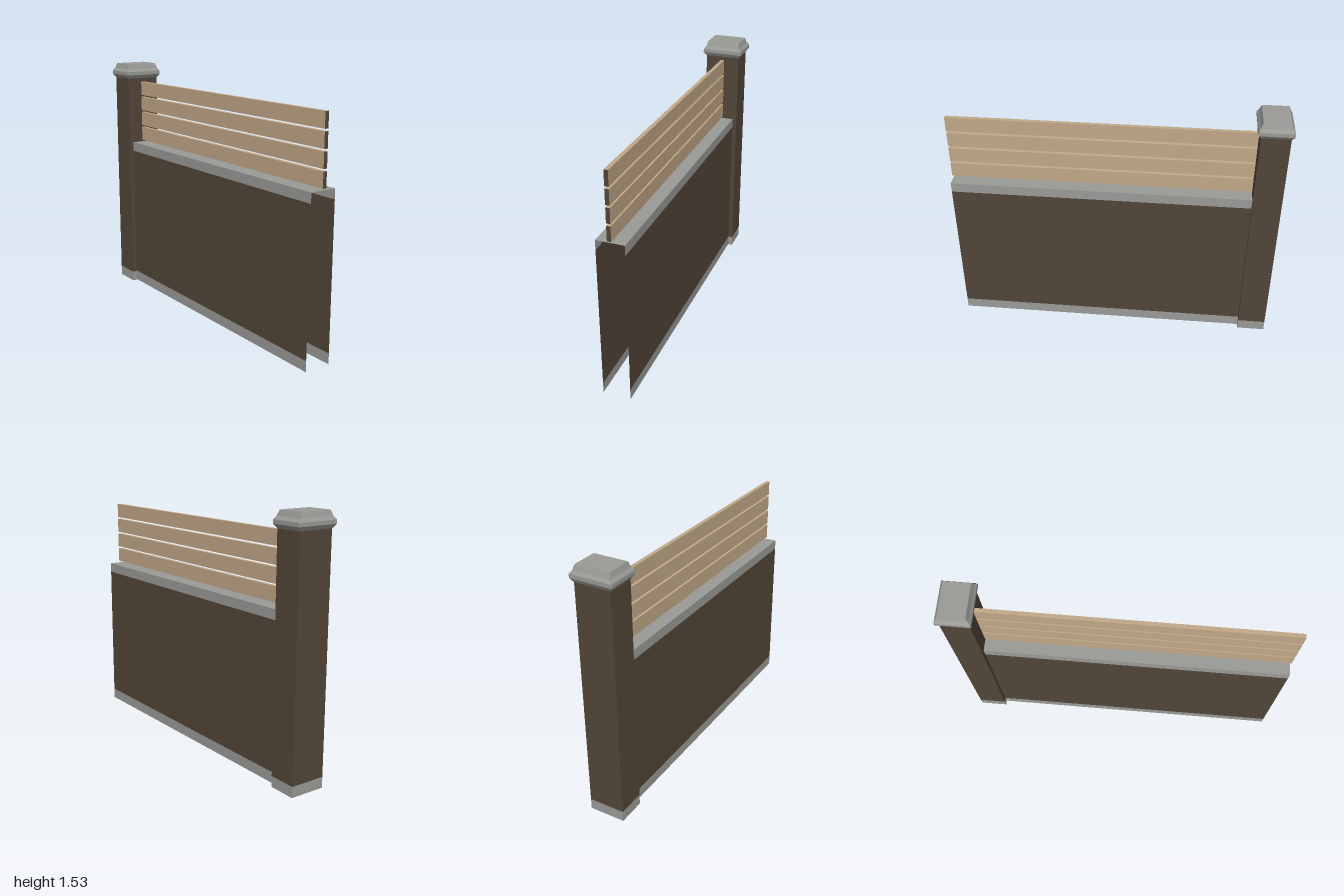
import * as THREE from 'three';

const material = (name, color, side = THREE.FrontSide) => {
  const m = new THREE.MeshStandardMaterial({ color, side });
  m.name = name;
  return m;
};

// Rectangular shell through rings of [y, halfWidth, halfDepth], optionally closed at both ends
function shell(rings, closed) {
  const pos = [];
  const corners = ([y, w, d]) => [[-w, y, d], [w, y, d], [w, y, -d], [-w, y, -d]];
  const quad = (a, b, c, d) => pos.push(...a, ...b, ...c, ...a, ...c, ...d);
  const loops = rings.map(corners);
  for (let i = 0; i < loops.length - 1; i++) {
    for (let k = 0; k < 4; k++) {
      const n = (k + 1) % 4;
      quad(loops[i][k], loops[i][n], loops[i + 1][n], loops[i + 1][k]);
    }
  }
  if (closed) {
    quad(...loops[loops.length - 1]);
    quad(...loops[0].slice().reverse());
  }
  const g = new THREE.BufferGeometry();
  g.setAttribute('position', new THREE.Float32BufferAttribute(pos, 3));
  g.computeVertexNormals();
  return g;
}

export function createModel() {
  const root = new THREE.Group();
  root.name = 'fenceSection';
  const stone = material('stoneGrey', 0x9a9a97, THREE.DoubleSide);
  const brown = material('darkBrown', 0x524538, THREE.DoubleSide);
  const wood = material('lightWood', 0xc2a888);

  const add = (name, geometry, mat, x, y, z, parent = root) => {
    const mesh = new THREE.Mesh(geometry, mat);
    mesh.name = name;
    mesh.position.set(x, y, z);
    parent.add(mesh);
    return mesh;
  };

  // Hollow post with a grey foot and a moulded cap
  const postZ = -0.9;
  const post = new THREE.Group();
  post.name = 'post';
  root.add(post);
  add('postFoot', shell([[0, 0.11, 0.085], [0.065, 0.11, 0.085]]), stone, 0, 0, postZ, post);
  add('postShaft', shell([[0.065, 0.11, 0.085], [1.437, 0.11, 0.085]]), brown, 0, 0, postZ, post);
  add('postCap', shell([
    [1.435, 0.111, 0.086],
    [1.458, 0.128, 0.1],
    [1.48, 0.128, 0.1],
    [1.498, 0.114, 0.089],
    [1.53, 0.103, 0.078],
  ], true), stone, 0, 0, postZ, post);

  // Low wall: two sheets joined by a top, open at the end and underneath
  const wallFront = 0.992, wallBack = -0.815;
  const length = wallFront - wallBack, midZ = (wallFront + wallBack) / 2;
  const wall = new THREE.Group();
  wall.name = 'wall';
  root.add(wall);
  const bands = [
    ['wallFoot', 0.005, 0.07, stone],
    ['wallPanel', 0.07, 0.94, brown],
    ['wallTopBand', 0.94, 1, stone],
  ];
  for (const side of [-1, 1]) {
    for (const [name, y0, y1, mat] of bands) {
      const sheet = add(name, new THREE.PlaneGeometry(length, y1 - y0), mat,
        side * 0.083, (y0 + y1) / 2, midZ, wall);
      sheet.rotation.y = side * Math.PI / 2;
    }
  }
  const top = add('wallTop', new THREE.PlaneGeometry(0.166, length), stone, 0, 1, midZ, wall);
  top.rotation.x = -Math.PI / 2;

  // Four planks above the wall, with dark end faces
  const plankMaterials = [wood, wood, wood, wood, brown, brown];
  for (let i = 0; i < 4; i++) {
    add('plank', new THREE.BoxGeometry(0.024, 0.09, 1.815), plankMaterials,
      0, 1.056 + i * 0.1033, 0.0925);
  }
  return root;
}
